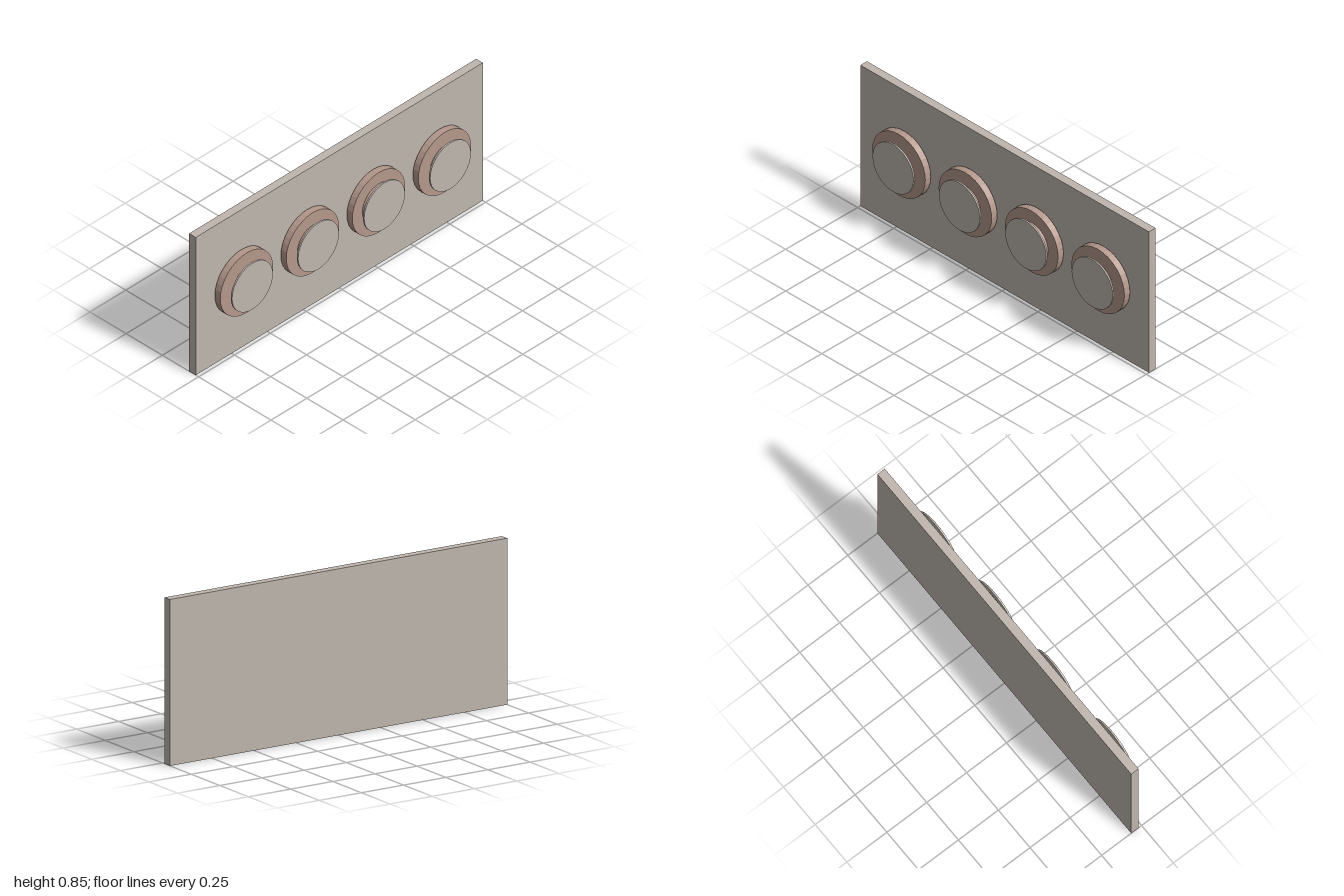
import * as THREE from 'three';

export function createModel() {
  const group = new THREE.Group();
  const stone = new THREE.MeshStandardMaterial({ color: 0xbfb6ae });
  stone.name = 'warm grey';
  const clay = new THREE.MeshStandardMaterial({ color: 0xb4988b });
  clay.name = 'dusty clay';

  // Faceted disc facing +z, spanning back to front
  function disc(name, radius, back, front, material) {
    let geometry = new THREE.CylinderGeometry(radius, radius, front - back, 32);
    geometry.rotateX(Math.PI / 2);
    geometry = geometry.toNonIndexed();
    geometry.computeVertexNormals();
    const mesh = new THREE.Mesh(geometry, material);
    mesh.name = name;
    mesh.position.z = (back + front) / 2;
    return mesh;
  }

  // Upright backing panel
  const panel = new THREE.Mesh(new THREE.BoxGeometry(2, 0.847, 0.046), stone);
  panel.name = 'backPanel';
  panel.position.set(0, 0.4235, -0.042);
  group.add(panel);

  // Four knobs: base, a neck that varies slightly, and a thin floating cap
  const necks = [
    { radius: 0.097, front: 0.043 },
    { radius: 0.107, front: 0.052 },
    { radius: 0.115, front: 0.052 },
    { radius: 0.103, front: 0.052 },
  ];
  necks.forEach((neck, i) => {
    const knob = new THREE.Group();
    knob.name = `knob${i + 1}`;
    knob.position.set((i - 1.5) * 0.46, 0.425, 0);
    knob.add(
      disc('knobBase', 0.184, -0.013, 0.025, clay),
      disc('knobNeck', neck.radius, 0.025, neck.front, clay),
      disc('knobCap', 0.142, 0.056, 0.065, stone),
    );
    group.add(knob);
  });

  return group;
}
